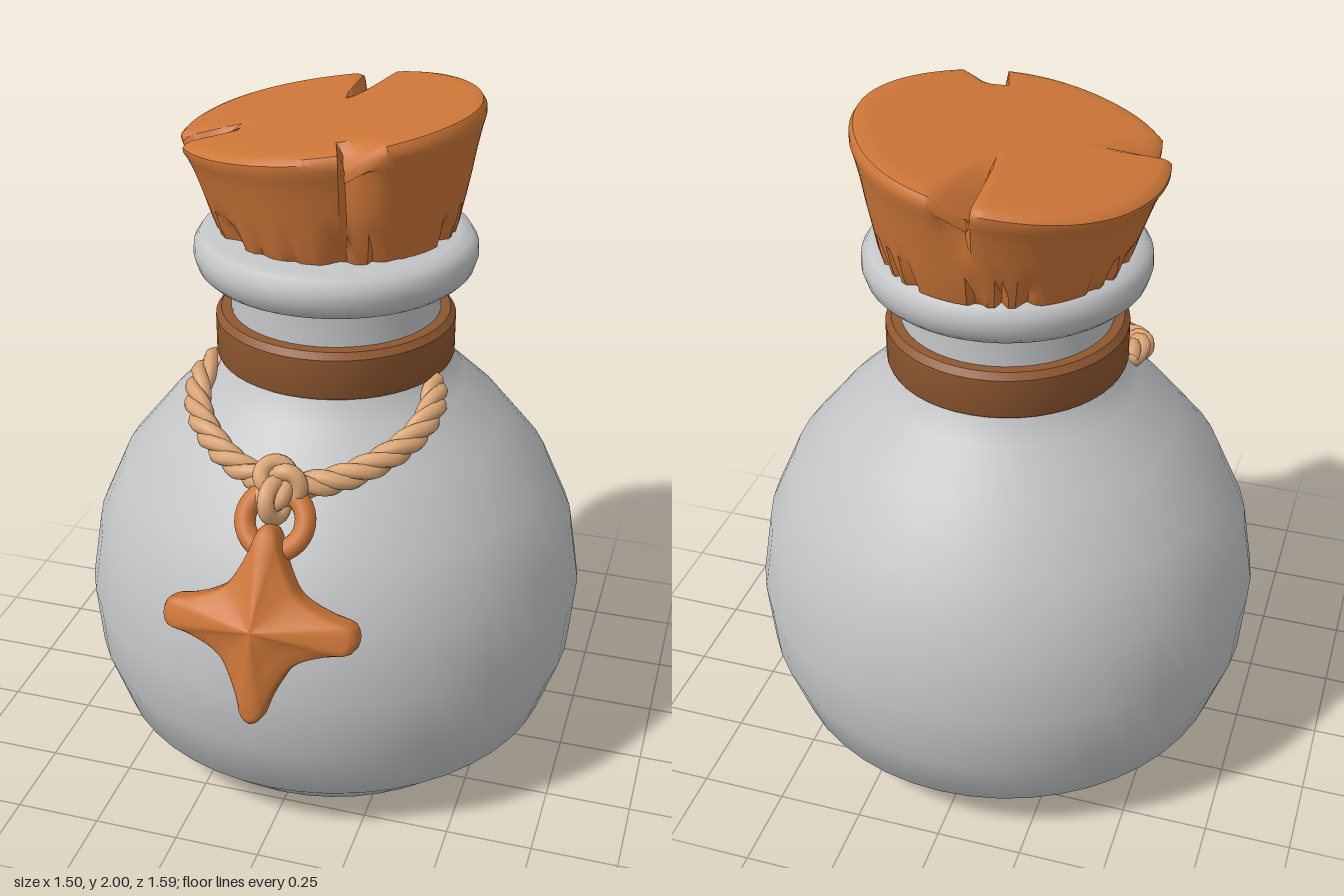
import * as THREE from 'three';
import { toCreasedNormals } from 'three/addons/utils/BufferGeometryUtils.js';

const material = (name, color) => Object.assign(new THREE.MeshStandardMaterial({ color }), { name });
const v2 = (list) => list.map(([x, y]) => new THREE.Vector2(x, y));
const v3 = (list) => list.map((p) => new THREE.Vector3(...p));

// Cork: a lathe with sloping top, three chipped notches and a ragged lower edge
function corkGeometry() {
  const profile = [[0, 1.6], [0.3, 1.6], [0.34, 1.625], [0.352, 1.66], [0.367, 1.72], [0.383, 1.78], [0.398, 1.84],
    [0.412, 1.885], [0.422, 1.91], [0.422, 1.927], [0.412, 1.94], [0.395, 1.945], [0.36, 1.946], [0.31, 1.946],
    [0.25, 1.946], [0.19, 1.946], [0.13, 1.946], [0.06, 1.946], [0, 1.946]];
  const geo = new THREE.LatheGeometry(v2(profile), 120);
  const notches = [
    { x: 0.0, z: -0.42, left: 0.025, right: 0.09, inner: 0.1, drop: 0.06, pull: 0.05, low: 1.74 },
    { x: -0.36, z: 0.14, left: 0.08, right: 0.03, inner: 0.22, drop: 0.06, pull: 0.045, low: 1.72 },
    { x: 0.14, z: 0.37, left: 0.11, right: 0.02, inner: 0.3, drop: 0.06, pull: 0.06, low: 1.66 },
  ];
  const p = geo.attributes.position;
  for (let i = 0; i < p.count; i++) {
    let x = p.getX(i), y = p.getY(i), z = p.getZ(i);
    const r = Math.hypot(x, z), a = Math.atan2(z, x);
    const h = THREE.MathUtils.clamp((y - 1.6) / 0.34, 0, 1);
    let pull = 0, drop = 0;
    for (const n of notches) {
      const na = Math.atan2(n.z, n.x);
      const d = Math.atan2(Math.sin(a - na), Math.cos(a - na)) * 0.42;
      const w = Math.max(0, 1 - (d < 0 ? -d / n.left : d / n.right));
      const side = THREE.MathUtils.smoothstep(y, n.low, 1.93);
      const edge = THREE.MathUtils.smoothstep(r, n.inner, 0.42);
      pull += n.pull * w * side * edge;
      drop += n.drop * w * edge * (y > 1.9 ? 1 : 0);
    }
    // Ragged teeth along the lower edge
    if (r > 0.335 && y < 1.67) {
      const tooth = Math.max(0, Math.sin(a * 23 + 2 * Math.sin(a * 7)) * Math.sin(a * 3 + 1));
      pull += tooth * 0.03;
    }
    const k = r > 0 ? (r - pull + 0.003 * h * Math.sin(a * 5 + 1)) / r : 1;
    x *= k;
    z *= k;
    y += h * h * 0.14 * x - drop;
    p.setXYZ(i, x - 0.01 - 0.015 * h, y, z - 0.095);
  }
  return toCreasedNormals(geo, 0.65);
}

// Rope: strands wound around a centre line
function ropeStrands(path, mat, twists) {
  const group = new THREE.Group();
  const steps = 90, frames = path.computeFrenetFrames(steps, false);
  for (let s = 0; s < 3; s++) {
    const pts = [];
    for (let i = 0; i <= steps; i++) {
      const a = (s / 3 + (i / steps) * twists) * Math.PI * 2;
      pts.push(path.getPointAt(i / steps)
        .addScaledVector(frames.normals[i], Math.cos(a) * 0.018)
        .addScaledVector(frames.binormals[i], Math.sin(a) * 0.018));
    }
    const strand = new THREE.Mesh(new THREE.TubeGeometry(new THREE.CatmullRomCurve3(pts), 140, 0.022, 8), mat);
    strand.name = 'ropeStrand';
    group.add(strand);
  }
  return group;
}

// Star: shrinking copies of a four-armed outline, raised to a ridge at the centre
function starGeometry() {
  const quarter = [[0.275, 0], [0.262, 0.036], [0.2, 0.052], [0.135, 0.078], [0.098, 0.105], [0.068, 0.155], [0.042, 0.215], [0.026, 0.262]];
  const outline = [];
  for (let q = 0; q < 4; q++) {
    // Alternate quarters are mirrored so that the arms stay symmetrical
    const part = q % 2 ? quarter.map(([x, y]) => [-x, y]).reverse() : quarter.slice();
    const sign = q > 1 ? -1 : 1;
    const flip = part.map(([x, y]) => [x * sign, y * sign]);
    if (q % 2) {
      outline.push([0, 0.28 * sign], ...flip.slice(0, -1));
    } else outline.push(...flip);
  }
  const curve = new THREE.CatmullRomCurve3(v3(outline.map(([x, y]) => [x, y, 0])), true, 'centripetal');
  const ring = curve.getPoints(96).slice(0, 96), n = ring.length;
  const layers = [[0.001, -0.07], [0.5, -0.055], [0.9, -0.043], [0.98, -0.034], [1, -0.02], [1, 0.02], [0.98, 0.036],
    [0.92, 0.047], [0.7, 0.06], [0.45, 0.077], [0.2, 0.096], [0.001, 0.104]];
  const pos = [], index = [];
  for (const [s, z] of layers) for (const q of ring) pos.push(q.x * s, q.y * s, z);
  for (let l = 0; l < layers.length - 1; l++) {
    for (let i = 0; i < n; i++) {
      const a = l * n + i, b = l * n + (i + 1) % n;
      index.push(a, b, b + n, a, b + n, a + n);
    }
  }
  const geo = new THREE.BufferGeometry();
  geo.setAttribute('position', new THREE.Float32BufferAttribute(pos, 3));
  geo.setIndex(index);
  geo.computeVertexNormals();
  return geo;
}

export function createModel() {
  const model = new THREE.Group();
  model.name = 'corkedBottle';
  const glass = material('greyGlass', 0xc2c4c6);
  const cork = material('orangeCork', 0xcd7638);
  const leather = material('brownLeather', 0x8f5730);
  const rope = material('tanRope', 0xdba676);
  const add = (name, geo, mat, x = 0, y = 0, z = 0) => {
    const mesh = new THREE.Mesh(geo, mat);
    mesh.name = name;
    mesh.position.set(x, y, z);
    model.add(mesh);
    return mesh;
  };

  // Round bottle with neck and lip
  const bottle = [[0, 0], [0.36, 0.003], [0.55, 0.03], [0.675, 0.15], [0.735, 0.33], [0.75, 0.52], [0.717, 0.72], [0.637, 0.9],
    [0.5, 1.07], [0.38, 1.185], [0.325, 1.26], [0.302, 1.34], [0.302, 1.49]];
  add('bottleBody', new THREE.LatheGeometry(v2(bottle), 48), glass, 0, 0, -0.047);
  const lip = [[0.3, 1.49], [0.31, 1.505], [0.375, 1.512], [0.393, 1.53], [0.404, 1.565], [0.402, 1.595], [0.385, 1.622], [0.35, 1.63], [0, 1.63]];
  add('bottleLip', toCreasedNormals(new THREE.LatheGeometry(v2(lip), 48), 0.9), glass, 0, 0, -0.047);

  // Leather collar around the neck
  const collar = [[0.29, 1.255], [0.342, 1.255], [0.346, 1.265], [0.346, 1.375], [0.33, 1.393], [0.29, 1.395]];
  add('neckCollar', toCreasedNormals(new THREE.LatheGeometry(v2(collar), 48), 0.6), leather, 0, 0, -0.045);

  add('cork', corkGeometry(), cork);

  // Rope hanging over the shoulders, mirrored
  for (const side of [-1, 1]) {
    const path = new THREE.CatmullRomCurve3(v3([[0.32, 1.23, 0.06], [0.34, 1.205, 0.17], [0.305, 1.16, 0.285],
      [0.2, 1.11, 0.395], [0.1, 1.085, 0.45], [0, 1.08, 0.485]].map(([x, y, z]) => [x * side, y, z])));
    const strands = ropeStrands(path, rope, 3 * side);
    strands.name = side > 0 ? 'leftRope' : 'rightRope';
    model.add(strands);
  }

  // Knot and the loop holding the pendant
  const knot = add('ropeKnot', new THREE.TorusKnotGeometry(0.04, 0.024, 90, 8, 2, 3), rope, 0, 1.095, 0.5);
  knot.rotation.x = -0.5;
  const loop = add('knotLoop', new THREE.TorusGeometry(0.048, 0.024, 8, 20), rope, 0, 1.06, 0.53);
  loop.rotation.set(-0.5, 1.3, 0);

  // Pendant ring and star
  const ring = add('pendantRing', new THREE.TorusGeometry(0.085, 0.03, 12, 32), cork, 0, 1.0, 0.535);
  ring.rotation.x = -0.6;
  const star = add('starPendant', starGeometry(), cork, 0, 0.75, 0.665);
  star.rotation.x = -0.33;
  return model;
}
